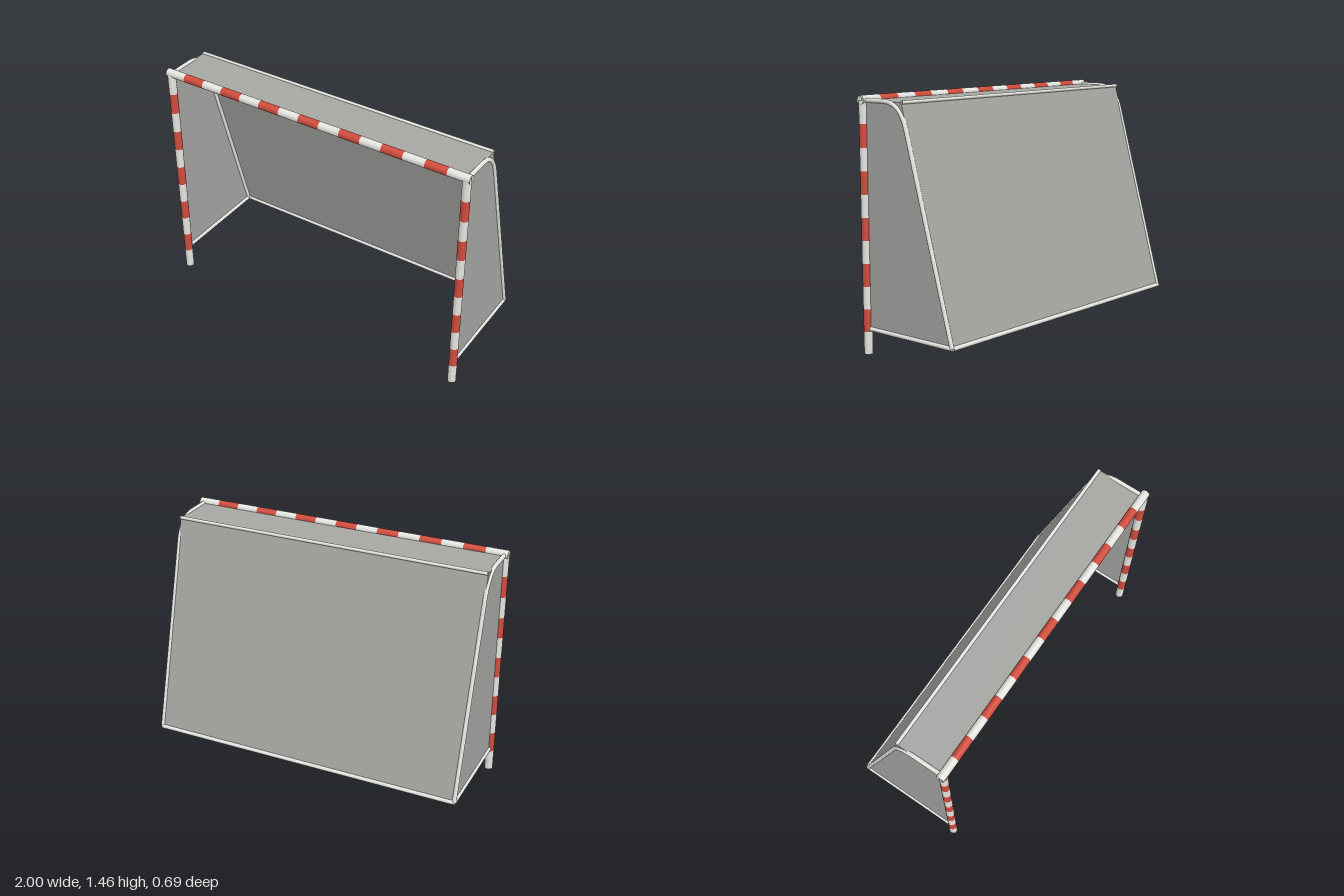
import * as THREE from 'three';

const mat = (name, color) =>
  new THREE.MeshStandardMaterial({ name, color, side: THREE.DoubleSide });

export function createModel() {
  const goal = new THREE.Group();
  goal.name = 'goal';
  const white = mat('white paint', 0xe4e4e0);
  const red = mat('red paint', 0xd04c3e);
  const netGrey = mat('net grey', 0xa6a6a3);

  const X = 0.975, FRONT = 0.32, TOP = 1.43, LOW = 0.146, BACK = -0.333, RIDGE = 0.024;
  const v = (x, y, z) => new THREE.Vector3(x, y, z);

  // Open pipe between two points
  function pipe(name, a, b, radius, material, parent = goal) {
    const geo = new THREE.CylinderGeometry(radius, radius, a.distanceTo(b), 20, 1, true);
    const mesh = new THREE.Mesh(geo, material);
    mesh.name = name;
    mesh.position.copy(a).lerp(b, 0.5);
    mesh.quaternion.setFromUnitVectors(v(0, 1, 0), b.clone().sub(a).normalize());
    parent.add(mesh);
  }

  // Pipe painted in alternating white and red bands
  function stripedPipe(name, a, b, bands) {
    const group = new THREE.Group();
    group.name = name;
    for (let i = 0; i < bands; i++) {
      pipe(i % 2 ? 'redBand' : 'whiteBand', a.clone().lerp(b, i / bands),
        a.clone().lerp(b, (i + 1) / bands), 0.025, i % 2 ? red : white, group);
    }
    goal.add(group);
  }

  // Flat four-cornered net panel
  function net(name, a, b, c, d) {
    const geo = new THREE.BufferGeometry().setFromPoints([a, b, c, d]);
    geo.setIndex([0, 1, 2, 0, 2, 3]);
    geo.computeVertexNormals();
    const mesh = new THREE.Mesh(geo, netGrey);
    mesh.name = name;
    goal.add(mesh);
  }

  // Front frame
  stripedPipe('crossbar', v(-1, TOP + 0.002, FRONT - 0.004), v(1, TOP + 0.002, FRONT - 0.004), 15);

  for (const s of [1, -1]) {
    const side = s > 0 ? 'left' : 'right';
    const x = s * X;
    stripedPipe(side + 'Post', v(x, 0, FRONT), v(x, TOP, FRONT), 11);

    // Bent side stay running back and down
    const path = new THREE.CurvePath();
    const bendStart = v(x, TOP, 0.16), bendEnd = v(x, 1.29, -0.008), foot = v(x, LOW, BACK + 0.004);
    path.add(new THREE.LineCurve3(v(x, TOP, FRONT), bendStart));
    path.add(new THREE.QuadraticBezierCurve3(bendStart, v(x, TOP, 0.032), bendEnd));
    path.add(new THREE.LineCurve3(bendEnd, foot));
    const stay = new THREE.Mesh(new THREE.TubeGeometry(path, 80, 0.0125, 14), white);
    stay.name = side + 'Stay';
    goal.add(stay);

    pipe(side + 'LowerRail', v(x, LOW, FRONT), v(x, LOW, BACK), 0.0125, white);
    net(side + 'Net', v(x, LOW, FRONT), v(x, LOW, BACK), v(x, TOP, RIDGE), v(x, TOP, FRONT));
  }

  // Rails across the back
  pipe('backLowerRail', v(-X, LOW, BACK), v(X, LOW, BACK), 0.0125, white);
  pipe('backUpperRail', v(-X, TOP, RIDGE - 0.003), v(X, TOP, RIDGE - 0.003), 0.01, white);

  // Top and back nets
  net('topNet', v(-X, TOP, FRONT), v(X, TOP, FRONT), v(X, TOP, RIDGE), v(-X, TOP, RIDGE));
  net('backNet', v(X, LOW, BACK), v(-X, LOW, BACK), v(-X, TOP, RIDGE), v(X, TOP, RIDGE));

  return goal;
}
